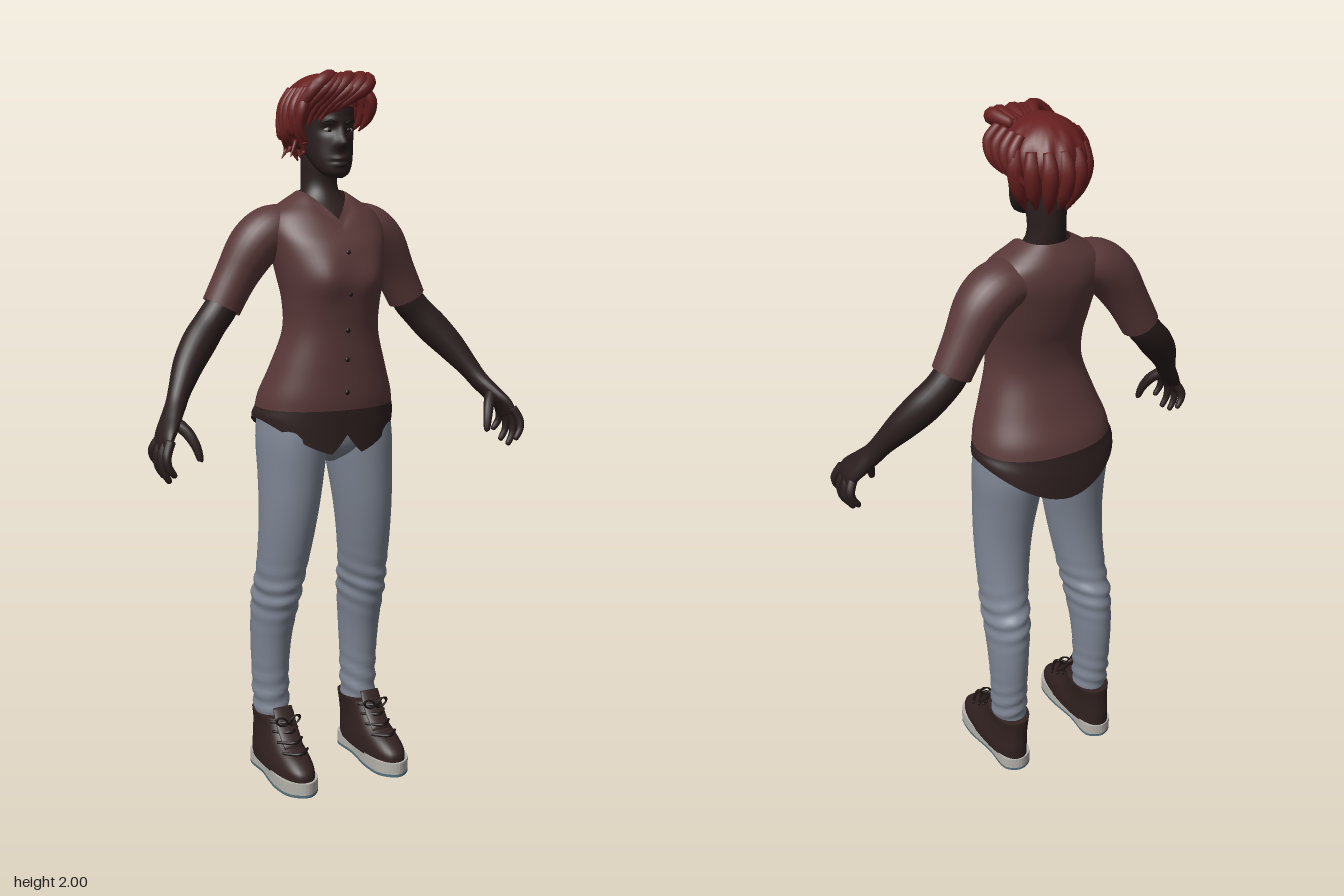
import * as THREE from 'three';

const mat = (name, color, side = THREE.FrontSide) => {
  const m = new THREE.MeshStandardMaterial({ color, side });
  m.name = name;
  return m;
};

// Smoothly interpolate rows of numbers (Catmull-Rom on every component)
function dense(rows, sub) {
  const out = [], n = rows.length - 1;
  for (let k = 0; k <= n * sub; k++) {
    const i = Math.min(Math.floor(k / sub), n - 1), t = k / sub - i;
    const [a, b, c, d] = [-1, 0, 1, 2].map(o => rows[Math.min(n, Math.max(0, i + o))]);
    out.push(b.map((_, j) => 0.5 * (2 * b[j] + (c[j] - a[j]) * t + (2 * a[j] - 5 * b[j] + 4 * c[j] - d[j]) * t * t
      + (3 * b[j] - a[j] - 3 * c[j] + d[j]) * t * t * t)));
  }
  return out;
}

// Closed-around grid of points: point(row, angle), angle 0 faces the front
function grid(rowCount, seg, point, caps = true) {
  const pos = [], idx = [];
  for (let i = 0; i < rowCount; i++)
    for (let j = 0; j < seg; j++) {
      let a = j / seg * Math.PI * 2;
      if (a > Math.PI) a -= Math.PI * 2;
      pos.push(...point(i, a).toArray());
    }
  for (let i = 0; i < rowCount - 1; i++)
    for (let j = 0; j < seg; j++) {
      const k = (j + 1) % seg, a = i * seg + j, b = i * seg + k, c = a + seg, d = b + seg;
      idx.push(a, b, d, a, d, c);
    }
  if (caps) for (const r of [0, rowCount - 1]) {
    const c = [0, 0, 0], id = pos.length / 3;
    for (let j = 0; j < seg; j++) for (let q = 0; q < 3; q++) c[q] += pos[(r * seg + j) * 3 + q] / seg;
    pos.push(...c);
    for (let j = 0; j < seg; j++) {
      const a = r * seg + j, b = r * seg + (j + 1) % seg;
      idx.push(...(r ? [a, b, id] : [b, a, id]));
    }
  }
  const g = new THREE.BufferGeometry();
  g.setAttribute('position', new THREE.Float32BufferAttribute(pos, 3));
  g.setIndex(idx);
  g.computeVertexNormals();
  return g;
}

// Upright body from rows [y, centreX, halfWidth, frontZ, backZ]
function stack(rows, { seg = 40, sub = 5, exp = 2, caps = true, deform } = {}) {
  const d = dense(rows, sub);
  const p = v => Math.sign(v) * Math.abs(v) ** (2 / exp);
  return grid(d.length, seg, (i, a) => {
    const [y, cx, rx, zf, zb] = d[i];
    const v = new THREE.Vector3(cx + rx * p(Math.sin(a)), y, (zf + zb) / 2 + (zf - zb) / 2 * p(Math.cos(a)));
    if (deform) deform(v, a, i / (d.length - 1));
    return v;
  }, caps);
}

// Limb along a path of rows [x, y, z, sideRadius, frontRadius]
function limb(rows, { seg = 16, sub = 5, ref = [0, 0, 1], caps = true } = {}) {
  const d = dense(rows.map(r => r.length < 5 ? [...r, r[3]] : r), sub);
  const V = r => new THREE.Vector3(r[0], r[1], r[2]), R = new THREE.Vector3(...ref).normalize();
  return grid(d.length, seg, (i, a) => {
    const T = V(d[Math.min(i + 1, d.length - 1)]).sub(V(d[Math.max(i - 1, 0)])).normalize();
    const S = T.clone().cross(R).normalize(), F = S.clone().cross(T);
    return V(d[i]).addScaledVector(S, Math.sin(a) * d[i][3]).addScaledVector(F, Math.cos(a) * d[i][4]);
  }, caps);
}

function mirrored(geo) {
  const g = geo.clone().scale(-1, 1, 1);
  const ix = g.index ? [...g.index.array] : [...Array(g.attributes.position.count).keys()];
  for (let i = 0; i < ix.length; i += 3) [ix[i], ix[i + 1]] = [ix[i + 1], ix[i]];
  g.setIndex(ix);
  return g;
}

const bump = (v, x, y, sx, sy) => Math.exp(-(((v.x - x) / sx) ** 2) - ((v.y - y) / sy) ** 2);

export function createModel() {
  const root = new THREE.Group();
  root.name = 'figure';
  const skin = mat('skin', 0x2a1e1d), shirt = mat('shirt cloth', 0x593838, THREE.DoubleSide);
  const trim = mat('shirt hem', 0x2f2020, THREE.DoubleSide), denim = mat('denim', 0x7d8492);
  const hairMat = mat('hair', 0x661f1f, THREE.DoubleSide), leather = mat('shoe leather', 0x30211f);
  const rubber = mat('sole rubber', 0xb4b1aa), tread = mat('tread', 0x56707e);
  const white = mat('eye white', 0x8d8580), dark = mat('dark detail', 0x1c1313);
  const add = (name, geo, m) => {
    const o = new THREE.Mesh(geo, m);
    o.name = name;
    root.add(o);
  };
  const pair = (name, geo, m) => {
    add('left ' + name, geo, m);
    add('right ' + name, mirrored(geo), m);
  };

  // Shirt with an open V neck
  const torso = [[1.09, 0, .2, .122, -.172], [1.13, 0, .192, .125, -.162], [1.2, 0, .167, .125, -.13], [1.3, 0, .136, .127, -.098],
    [1.38, 0, .136, .138, -.102], [1.45, 0, .148, .146, -.122], [1.53, 0, .163, .125, -.14], [1.58, 0, .172, .09, -.145],
    [1.62, 0, .158, .06, -.138], [1.65, 0, .115, .035, -.125], [1.68, 0, .065, .015, -.105]];
  add('shirt', stack(torso, { seg: 64, exp: 2.2, caps: false, deform: (v, a) => {
    if (Math.abs(a) > 1.5) return;
    v.z += .014 * (bump(v, .07, 1.45, .045, .055) + bump(v, -.07, 1.45, .045, .055));
    const w = THREE.MathUtils.smoothstep(v.y, 1.54, 1.68) * Math.max(0, 1 - Math.abs(v.x) / .065);
    v.y -= .075 * w;
    v.z += .05 * w;
  } }), shirt);
  const hem = a => .96 + .1 * Math.abs(Math.sin(a)) ** 1.6 + .06 * Math.max(0, 1 - Math.abs(a) / .17);
  add('shirt hem', stack([[.96, 0, .206, .118, -.188], [1.02, 0, .206, .12, -.182], [1.09, 0, .2, .122, -.172]],
    { seg: 64, exp: 2.2, caps: false, deform: (v, a, t) => { v.y = hem(a) + (1.09 - hem(a)) * t; } }), trim);
  pair('sleeve', limb([[.09, 1.585, -.055, .06, .07], [.15, 1.572, -.055, .07, .078], [.2, 1.53, -.058, .07, .074],
    [.25, 1.45, -.064, .059, .06], [.293, 1.37, -.066, .055, .054]], { seg: 28, caps: false }), shirt);

  // Buttons down the front
  const front = dense(torso, 8);
  for (const y of [1.52, 1.41, 1.31, 1.23, 1.14]) {
    const z = front.reduce((b, r) => Math.abs(r[0] - y) < Math.abs(b[0] - y) ? r : b)[3];
    add('button', new THREE.SphereGeometry(.007, 10, 8).scale(1, 1, .6).translate(-.004, y, z), dark);
  }

  // Neck and upper chest
  add('neck', stack([[1.5, 0, .1, .1, -.1], [1.58, 0, .11, .07, -.11], [1.62, 0, .1, .05, -.11], [1.66, 0, .062, .015, -.1],
    [1.7, 0, .05, 0, -.105], [1.76, 0, .05, .01, -.11], [1.82, 0, .05, .01, -.11]]), skin);

  // Head with modelled nose, brow, eye sockets and lips
  add('head', stack([[1.716, 0, .018, .07, .03], [1.73, 0, .04, .08, 0], [1.76, 0, .057, .08, -.04], [1.8, 0, .067, .08, -.09],
    [1.85, 0, .073, .08, -.12], [1.9, 0, .075, .08, -.13], [1.95, 0, .06, .06, -.12], [1.98, 0, .03, .01, -.08]],
  { seg: 72, sub: 8, deform: (v, a) => {
    if (Math.abs(a) > 1.5) return;
    v.z += .026 * bump(v, 0, 1.807, .014, .013) + .014 * bump(v, 0, 1.83, .009, .024)
      + .008 * bump(v, 0, 1.767, .02, .006) + .008 * bump(v, 0, 1.752, .018, .006) - .005 * bump(v, 0, 1.7595, .022, .003);
    for (const s of [-1, 1])
      v.z += .005 * bump(v, s * .03, 1.865, .022, .008) - .009 * bump(v, s * .03, 1.842, .018, .012);
  } }), skin);
  pair('ear', new THREE.SphereGeometry(1, 16, 12).scale(.01, .03, .018).rotateZ(-.2).translate(.077, 1.82, -.03), skin);
  pair('eye', new THREE.SphereGeometry(1, 16, 12).scale(.014, .006, .008).translate(.03, 1.842, .061), white);
  pair('iris', new THREE.SphereGeometry(1, 12, 8).scale(.006, .006, .004).translate(.029, 1.842, .067), dark);
  pair('eyebrow', limb([[.014, 1.86, .082, .002], [.032, 1.867, .077, .003], [.05, 1.862, .062, .0015]], { seg: 8 }), dark);

  // Hair: ridged cap, then swept locks
  add('hair cap', grid(26, 72, (i, a) => {
    const end = 1.85 - .5 * Math.cos(a) + .06 * Math.sin(7 * a), phi = end * (1 - i / 25) + .001;
    const r = 1 + .03 * Math.sin(phi) * Math.sin(11 * a + 4 * phi) + .015 * Math.sin(phi) * Math.sin(19 * a - 5 * phi);
    return new THREE.Vector3(-.006 + .11 * r * Math.sin(phi) * Math.sin(a), 1.885 + .108 * Math.cos(phi), -.022 + .132 * r * Math.sin(phi) * Math.cos(a));
  }, false), hairMat);
  const lock = pts => add('hair lock', limb(pts, { seg: 10, sub: 6, ref: [.6, .5, .6] }), hairMat);
  for (let i = 0; i < 7; i++) {
    const k = i / 6, w = .004 * Math.sin(i * 2.4);
    // fringe swept to the right
    lock([[.06 - .07 * k, 1.968, .01, .012], [.075 - .11 * k, 1.972 + w, .08, .022], [.05 - .13 * k, 1.95 + w, .113 - .02 * k, .02],
      [.0 - .115 * k, 1.915 - .02 * k, .105 - .04 * k, .014], [-.035 - .085 * k, 1.885 - .05 * k + w, .09 - .04 * k, .002]]);
    // loose curls over the right temple
    lock([[-.085, 1.95, .07 - .12 * k, .012], [-.112 + w, 1.9, .075 - .13 * k, .016], [-.118, 1.85 - .02 * k, .07 - .12 * k, .011],
      [-.1 + 2 * w, 1.81 - .02 * Math.sin(i * 1.7), .065 - .13 * k, .007], [-.116 + 3 * w, 1.785 + .02 * Math.cos(i * 2), .075 - .13 * k, .0015]]);
    // layered nape
    const a = Math.PI + (k - .5) * 2.4, s = Math.sin(a), c = Math.cos(a);
    lock([[.1 * s, 1.93, -.022 + .11 * c, .014], [.108 * s, 1.88, -.022 + .128 * c, .021], [.092 * s, 1.82, -.022 + .115 * c, .019],
      [.068 * s, 1.765 + 2 * w, -.025 + .085 * c, .002]]);
  }
  // short left side
  for (let i = 0; i < 4; i++)
    lock([[.075, 1.96, .05 - .035 * i, .012], [.1, 1.92, .06 - .04 * i, .017], [.1, 1.875, .045 - .04 * i, .013], [.082, 1.84, .025 - .04 * i, .002]]);

  // Arms and hands
  pair('arm', limb([[.26, 1.43, -.064, .04, .04], [.293, 1.37, -.066, .046, .045], [.33, 1.325, -.06, .046, .045], [.37, 1.28, -.042, .048, .045],
    [.415, 1.225, -.012, .042, .04], [.455, 1.165, .025, .031, .031], [.476, 1.13, .046, .027, .031], [.502, 1.095, .072, .024, .039],
    [.527, 1.06, .1, .02, .046], [.536, 1.03, .112, .013, .043]], { seg: 24 }), skin);
  [.025, .003, .01, .035].forEach((up, i) => {
    const z = .146 - .025 * i, f = .012 - .008 * i;
    pair('finger', limb([[.53, 1.055, z, .013], [.546, 1.015 + up * .3, z + f, .0125], [.545, .975 + up * .8, z + f * 1.5, .0105],
      [.53, .945 + up, z + f * 1.7, .008], [.527, .94 + up, z + f * 1.7, .003]], { seg: 12 }), skin);
  });
  pair('thumb', limb([[.5, 1.1, .08, .017], [.472, 1.07, .11, .016], [.455, 1.035, .13, .013], [.447, 1, .14, .009], [.447, .994, .141, .003]],
    { seg: 12 }), skin);

  // Trousers with soft folds at knee and ankle
  add('trouser seat', stack([[.93, 0, .03, .03, -.09], [.965, 0, .1, .08, -.12], [1.01, 0, .17, .095, -.145], [1.11, 0, .185, .1, -.15]]), denim);
  pair('trouser leg', stack([[.15, .143, .047, -.02, -.13], [.2, .145, .05, -.022, -.14], [.3, .146, .052, -.02, -.148], [.4, .145, .056, -.005, -.155],
    [.48, .142, .06, .02, -.156], [.54, .139, .063, .04, -.15], [.6, .134, .067, .05, -.125], [.7, .126, .075, .07, -.108], [.8, .118, .083, .085, -.106],
    [.9, .11, .091, .092, -.12], [1, .103, .098, .096, -.14], [1.1, .092, .098, .09, -.145]], { seg: 48, sub: 8, deform: (v, a) => {
    const fold = Math.exp(-(((v.y - .55) / .07) ** 2)) + Math.exp(-(((v.y - .23) / .07) ** 2));
    const n = .0035 * fold * Math.sin(v.y * 130 + 2.5 * Math.sin(a + .6));
    v.x += n * Math.sin(a);
    v.z += n * Math.cos(a);
  } }), denim);

  // High-top shoes
  const outline = new THREE.CatmullRomCurve3([[0, -.16], [.042, -.135], [.046, -.04], [.059, .07], [.046, .14], [0, .172], [-.043, .14], [-.054, .07],
    [-.043, -.04], [-.042, -.135]].map(([x, z]) => new THREE.Vector3(x, z, 0)), true).getPoints(48);
  const shape = new THREE.Shape(outline.slice(0, -1).map(p => new THREE.Vector2(p.x, p.y)));
  const slab = (top, depth) => new THREE.ExtrudeGeometry(shape, { depth, bevelEnabled: false, curveSegments: 1 }).rotateX(Math.PI / 2).translate(.147, top, 0);
  pair('sole', slab(.042, .034), rubber);
  pair('sole tread', slab(.008, .008), tread);
  pair('shoe upper', stack([[.038, .148, .056, .163, -.156], [.065, .148, .056, .158, -.156], [.09, .147, .053, .125, -.156], [.115, .146, .05, .07, -.154],
    [.145, .144, .049, .03, -.153], [.178, .143, .052, .005, -.153]], { exp: 2.4 }), leather);
  pair('shoe tongue', limb([[.144, .11, .07, .03, .009], [.144, .16, .022, .032, .009], [.144, .207, -.008, .03, .007]]), leather);
  for (const [y, z] of [[.1, .112], [.12, .075], [.142, .045], [.165, .027]])
    pair('lace', limb([[.106, y + .004, z - .034, .004], [.145, y + .008, z + .004, .005], [.184, y + .004, z - .034, .004]], { seg: 8 }), dark);
  for (const s of [-1, 1])
    pair('lace bow', new THREE.TorusGeometry(.014, .0035, 6, 16).scale(1.3, .8, 1).rotateZ(s * .5).translate(.144 + s * .02, .178, .032), dark);
  return root;
}
